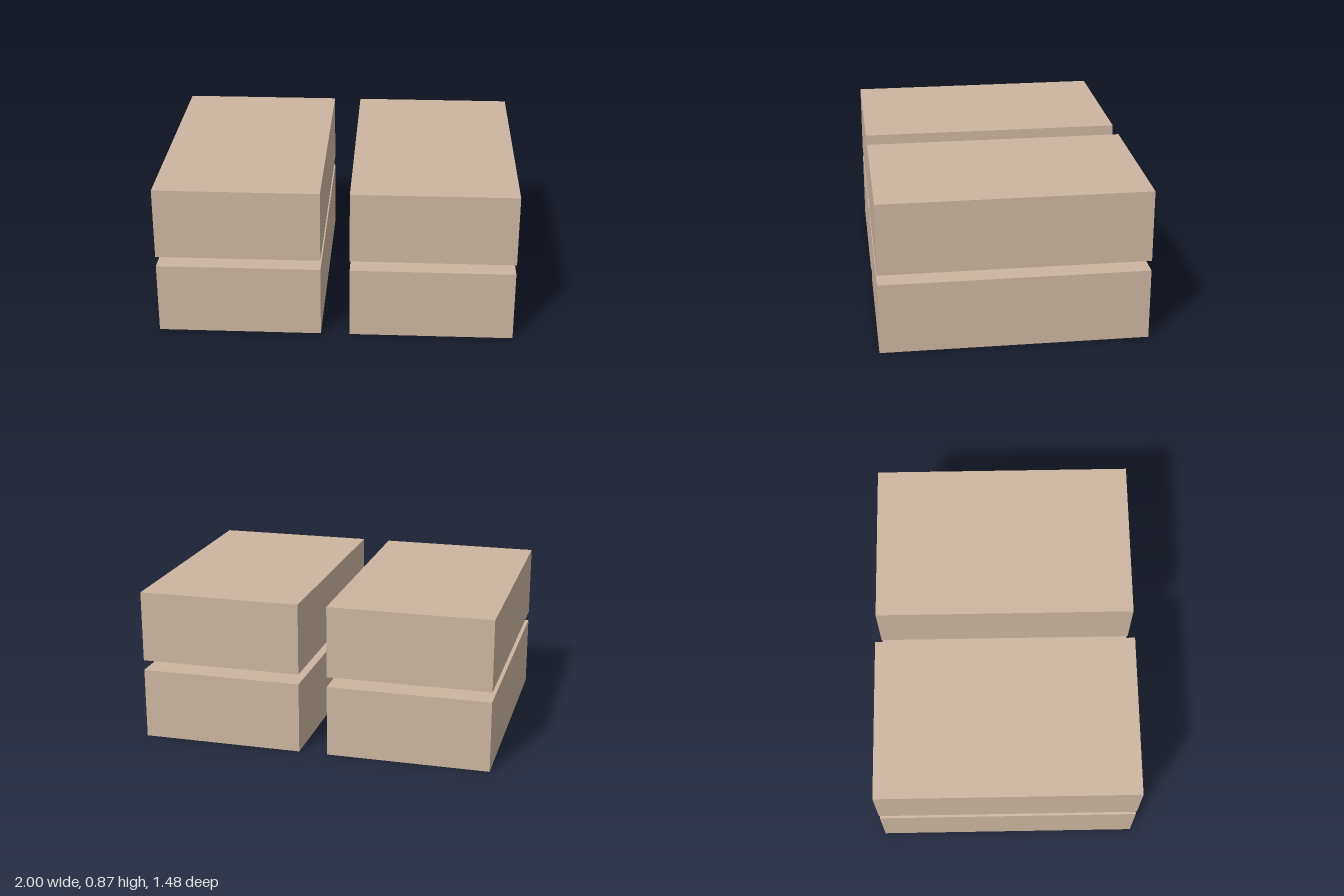
import * as THREE from 'three';

const WIDTH = 0.919, HEIGHT = 0.404, DEPTH = 1.484;
const CENTER_X = 1 - WIDTH / 2;
const LEVEL_STEP = 0.462; // block height plus the gap between layers

export function createModel() {
  const group = new THREE.Group();
  group.name = 'stackedBlocks';
  const material = new THREE.MeshStandardMaterial({ color: 0xcbb5a0 });
  const geometry = new THREE.BoxGeometry(WIDTH, HEIGHT, DEPTH);

  // Two layers of two separate blocks
  ['lower', 'upper'].forEach((level, i) => {
    for (const [side, sign] of [['Left', 1], ['Right', -1]]) {
      const block = new THREE.Mesh(geometry, material);
      block.name = `${level}${side}Block`;
      block.position.set(sign * CENTER_X, HEIGHT / 2 + i * LEVEL_STEP, 0);
      group.add(block);
    }
  });
  return group;
}
